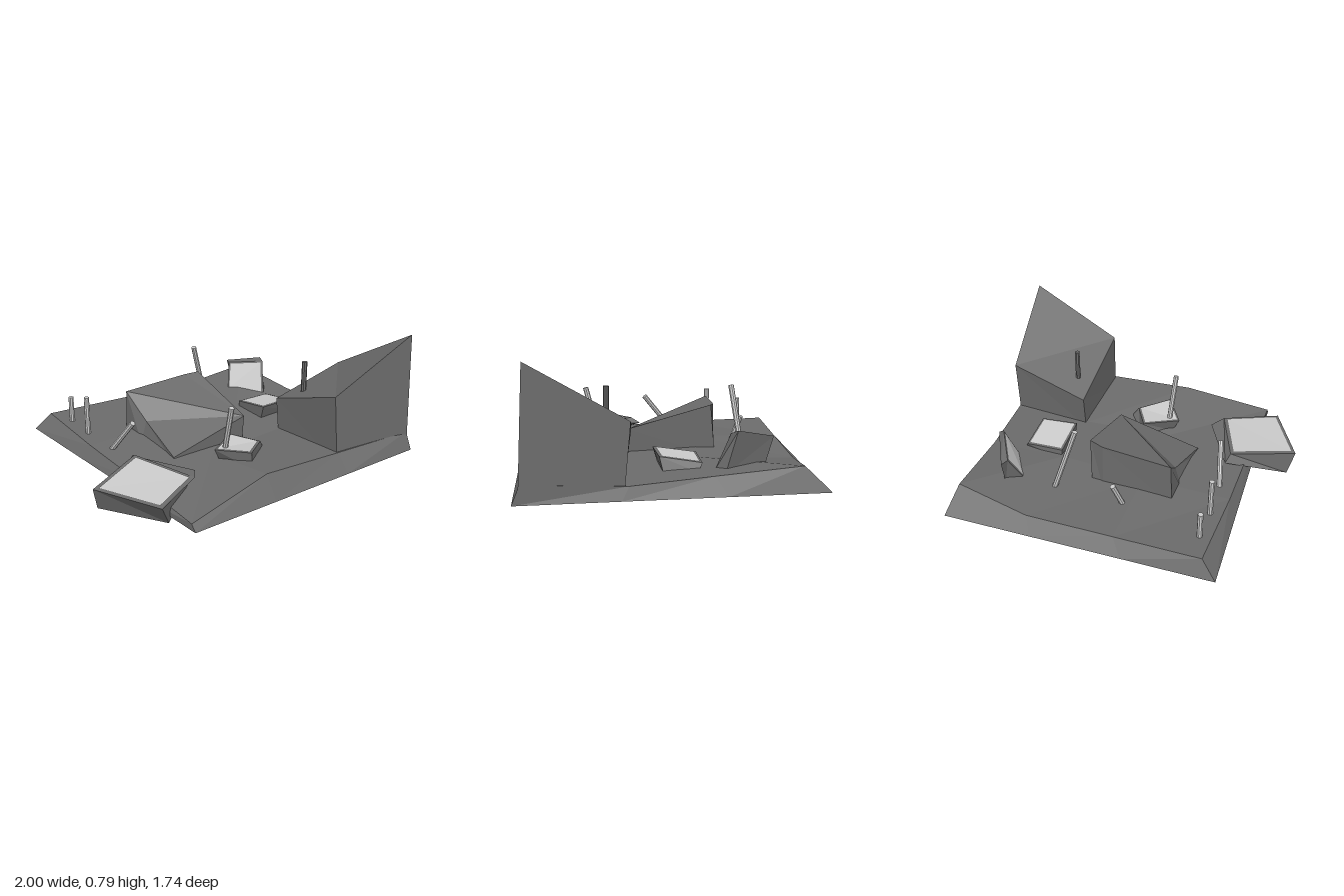
import * as THREE from 'three';

const stone = new THREE.MeshStandardMaterial({ color: 0x6c6c6c, flatShading: true, side: THREE.DoubleSide });
const pale = new THREE.MeshStandardMaterial({ color: 0xcccccc, flatShading: true, side: THREE.DoubleSide });

function meshFrom(tris, material, name) {
  const g = new THREE.BufferGeometry();
  g.setAttribute('position', new THREE.Float32BufferAttribute(tris.flat(2), 3));
  g.computeVertexNormals();
  const m = new THREE.Mesh(g, material);
  m.name = name;
  return m;
}

// triangles of a polygon, fanned from its first corner
const fan = (p) => p.slice(2).map((c, i) => [p[0], p[i + 1], c]);

// closed solid between a top and a bottom loop, both counter-clockwise from above
function solid(top, bottom, name) {
  const tris = [...fan(top), ...fan([...bottom].reverse())];
  top.forEach((a, i) => {
    const j = (i + 1) % top.length;
    tris.push([a, bottom[i], bottom[j]], [a, bottom[j], top[j]]);
  });
  return meshFrom(tris, stone, name);
}

// tilted block with a pale panel set inside its rim
function framedBlock(top, bottom, name) {
  const group = new THREE.Group();
  group.name = name;
  const v = top.map((p) => new THREE.Vector3(...p));
  const centre = v.reduce((s, p) => s.add(p), new THREE.Vector3()).divideScalar(4);
  const n = v[2].clone().sub(v[0]).cross(v[3].clone().sub(v[1])).normalize();
  const inset = v.map((p) => p.clone().lerp(centre, 0.11).addScaledVector(n, 0.004).toArray());
  group.add(solid(top, bottom, 'block'), meshFrom(fan(inset), pale, 'panel'));
  return group;
}

function pole(a, b, material) {
  const p = new THREE.Vector3(...a), q = new THREE.Vector3(...b);
  const dir = q.clone().sub(p);
  const m = new THREE.Mesh(new THREE.CylinderGeometry(0.017, 0.017, dir.length(), 8), material);
  m.position.copy(p).add(q).multiplyScalar(0.5);
  m.quaternion.setFromUnitVectors(new THREE.Vector3(0, 1, 0), dir.normalize());
  m.name = 'pole';
  return m;
}

// uneven ground: a 4 x 4 grid on a slanted skirt
function ground() {
  const rows = [
    [[-0.68, 0.14, -0.82], [-0.14, 0.125, -0.8], [0.42, 0.11, -0.78], [0.89, 0.18, -0.72]],
    [[-0.7, 0.12, -0.25], [-0.14, 0.135, -0.25], [0.42, 0.13, -0.2], [0.905, 0.14, -0.22]],
    [[-0.7, 0.1, 0.28], [-0.14, 0.105, 0.27], [0.42, 0.11, 0.24], [0.95, 0.11, 0.25]],
    [[-0.71, 0.075, 0.835], [-0.14, 0.175, 0.78], [0.42, 0.15, 0.79], [0.995, 0.145, 0.825]],
  ];
  const base = [[-0.71, 0.035, 0.87], [1, 0.035, 0.87], [0.93, 0.035, -0.87], [-0.775, 0.035, -0.87]];
  const tris = fan([...base].reverse());
  for (let r = 0; r < 3; r++) {
    for (let c = 0; c < 3; c++) {
      tris.push(...fan([rows[r + 1][c], rows[r + 1][c + 1], rows[r][c + 1], rows[r][c]]));
    }
  }
  const edges = [rows[3], rows.map((r) => r[3]).reverse(), [...rows[0]].reverse(), rows.map((r) => r[0])];
  edges.forEach((edge, k) => {
    const a = new THREE.Vector3(...base[k]), b = new THREE.Vector3(...base[(k + 1) % 4]);
    const low = edge.map((_, i) => a.clone().lerp(b, i / 3).toArray());
    for (let i = 0; i < 3; i++) tris.push(...fan([low[i], low[i + 1], edge[i + 1], edge[i]]));
  });
  return meshFrom(tris, stone, 'ground');
}

export function createModel() {
  const model = new THREE.Group();
  model.name = 'ruinedSite';
  model.add(ground());

  // tall corner building with a steep roof
  model.add(solid(
    [[0.41, 0.5, 0.75], [0.995, 0.79, 0.8], [0.945, 0.46, 0.24], [0.435, 0.31, 0.2]],
    [[0.42, 0.07, 0.785], [0.995, 0.07, 0.835], [0.95, 0.07, 0.275], [0.435, 0.07, 0.23]],
    'tallBuilding'));

  // central building, its roof folding down to the ground at one corner
  model.add(solid(
    [[0.165, 0.255, 0.2], [0.18, 0.4, -0.315], [0.09, 0.39, -0.345], [-0.355, 0.365, -0.37],
      [-0.33, 0.215, -0.18], [-0.375, 0.115, 0.19]],
    [[0.15, 0.07, 0.2], [0.165, 0.07, -0.345], [0.09, 0.07, -0.35], [-0.365, 0.07, -0.365],
      [-0.37, 0.07, -0.18], [-0.375, 0.07, 0.2]],
    'centralBuilding'));

  // tilted framed blocks
  model.add(framedBlock(
    [[-1, 0.145, 0.3], [-0.805, 0.135, 0.7], [-0.465, 0.15, 0.53], [-0.61, 0.175, 0.12]],
    [[-0.96, 0, 0.27], [-0.73, 0, 0.65], [-0.4, 0.14, 0.44], [-0.59, 0.14, 0.06]],
    'largeFrame'));
  model.add(framedBlock(
    [[-0.195, 0.18, 0.36], [-0.07, 0.2, 0.56], [0.115, 0.175, 0.42], [0.02, 0.185, 0.24]],
    [[-0.15, 0.09, 0.36], [-0.06, 0.09, 0.56], [0.15, 0.13, 0.4], [0.03, 0.08, 0.21]],
    'smallFrame'));
  model.add(framedBlock(
    [[0.435, 0.205, 0.075], [0.675, 0.2, 0.06], [0.68, 0.16, -0.185], [0.435, 0.165, -0.185]],
    [[0.44, 0.09, 0.04], [0.705, 0.11, 0.04], [0.705, 0.11, -0.16], [0.44, 0.09, -0.19]],
    'sideFrame'));
  model.add(framedBlock(
    [[0.57, 0.13, -0.48], [0.715, 0.125, -0.25], [0.765, 0.345, -0.33], [0.635, 0.3, -0.55]],
    [[0.67, 0.11, -0.54], [0.77, 0.11, -0.3], [0.775, 0.36, -0.37], [0.655, 0.3, -0.6]],
    'raisedFrame'));

  // leaning and upright poles, foot to tip
  const poles = [
    [[-0.615, 0.1, -0.64], [-0.615, 0.3, -0.64]],
    [[-0.62, 0.1, -0.42], [-0.62, 0.37, -0.42]],
    [[-0.61, 0.1, -0.155], [-0.56, 0.335, 0.03]],
    [[-0.1, 0.1, -0.495], [-0.05, 0.28, -0.55]],
    [[0.365, 0.1, -0.482], [0.23, 0.53, -0.43]],
    [[-0.118, 0.1, 0.352], [-0.138, 0.47, 0.45]],
  ];
  for (const [a, b] of poles) model.add(pole(a, b, pale));
  model.add(pole([0.53, 0.2, 0.35], [0.53, 0.585, 0.35], stone));
  return model;
}
